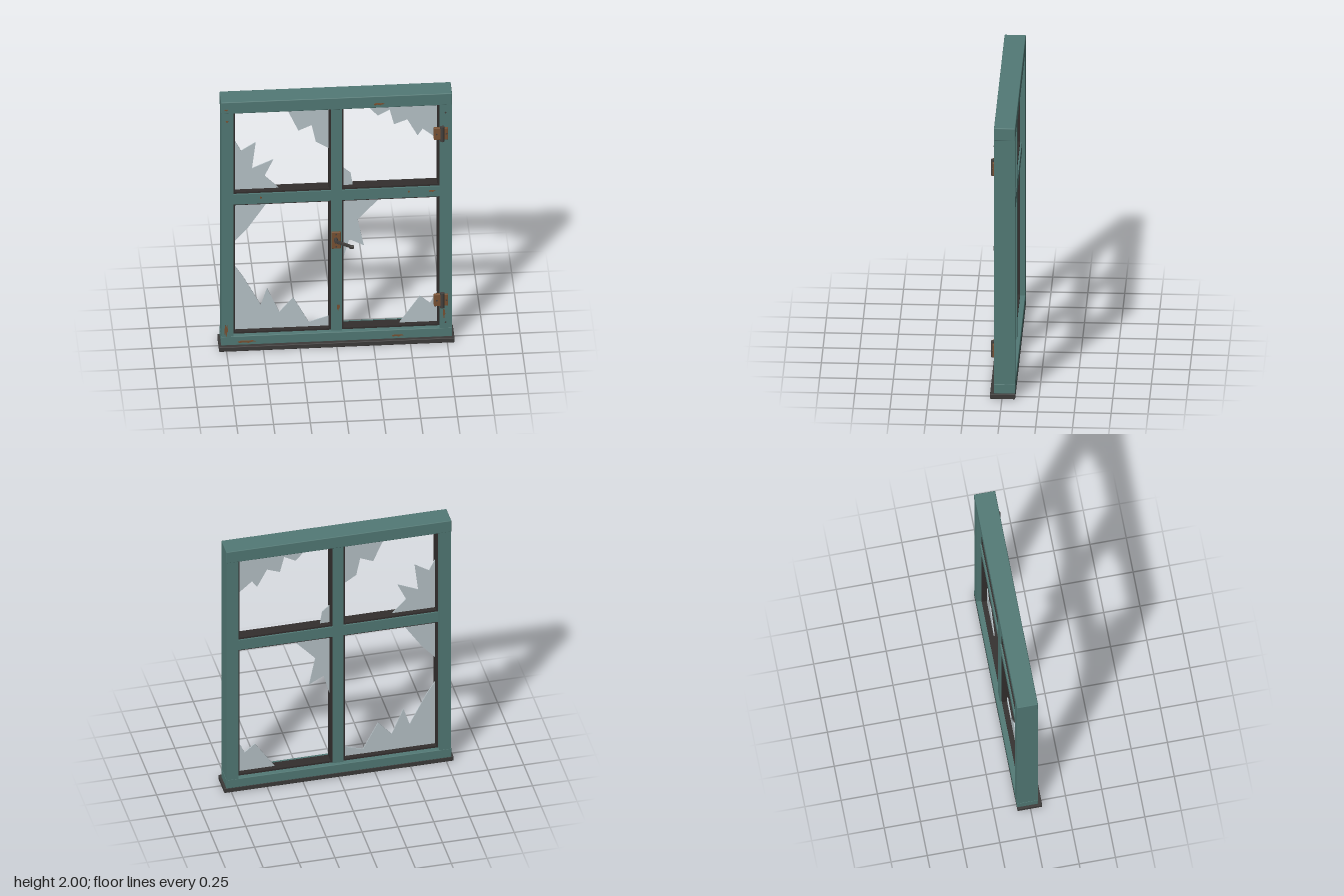
import * as THREE from 'three';
import { RoundedBoxGeometry } from 'three/addons/geometries/RoundedBoxGeometry.js';

const mat = (name, color) => Object.assign(new THREE.MeshStandardMaterial({ color }), { name });

export function createModel() {
  const paint = mat('teal paint', 0x527a76);
  const dark = mat('dark sill', 0x3d3b3a);
  const putty = mat('window putty', 0x332f2e);
  const glassMat = mat('dusty glass', 0xb8c4c9);
  const rust = mat('rust', 0x7a5233);
  const iron = mat('dark iron', 0x45423f);

  const group = new THREE.Group();
  group.name = 'brokenWindow';

  const add = (parent, name, geo, material, x = 0, y = 0, z = 0) => {
    const mesh = new THREE.Mesh(geo, material);
    mesh.name = name;
    mesh.position.set(x, y, z);
    parent.add(mesh);
    return mesh;
  };
  // Box given by its limits, optionally with a small bevel
  const block = (parent, name, material, [x0, x1], [y0, y1], [z0, z1], bevel = 0) => {
    const size = [x1 - x0, y1 - y0, z1 - z0];
    const geo = bevel ? new RoundedBoxGeometry(...size, 1, bevel) : new THREE.BoxGeometry(...size);
    return add(parent, name, geo, material, (x0 + x1) / 2, (y0 + y1) / 2, (z0 + z1) / 2);
  };
  // Flat plate cut from an outline
  const plate = (parent, name, material, points, z, depth) => {
    const shape = new THREE.Shape(points.map(([x, y]) => new THREE.Vector2(x, y)));
    const geo = new THREE.ExtrudeGeometry(shape, { depth, bevelEnabled: false });
    return add(parent, name, geo, material, 0, 0, z);
  };

  // Outer frame and sill
  const frameZ = [-0.09, 0.055];
  block(group, 'sill', dark, [-0.8, 0.8], [0, 0.036], [-0.09, 0.081], 0.004);
  block(group, 'topRail', paint, [-0.785, 0.785], [1.907, 2], frameZ, 0.005);
  block(group, 'bottomRail', paint, [-0.785, 0.785], [0.034, 0.105], frameZ, 0.004);
  for (const [s, name] of [[-1, 'rightStile'], [1, 'leftStile']]) {
    block(group, name, paint, [Math.min(s * 0.7, s * 0.783), Math.max(s * 0.7, s * 0.783)],
      [0.1, 1.915], [-0.089, 0.054]);
  }

  // Recessed glazing bars
  const barFront = 0.033;
  block(group, 'mullion', paint, [-0.037, 0.037], [0.1, 1.91], [-0.067, barFront]);
  block(group, 'crossBar', paint, [-0.702, 0.702], [1.157, 1.237], [-0.066, barFront - 0.001]);

  // Putty surround in each of the four openings
  for (const [x0, x1] of [[-0.7, -0.037], [0.037, 0.7]]) {
    for (const [y0, y1] of [[0.105, 1.157], [1.237, 1.907]]) {
      const t = 0.013;
      const shape = new THREE.Shape([[x0, y0], [x1, y0], [x1, y1], [x0, y1]].map((p) => new THREE.Vector2(...p)));
      shape.holes.push(new THREE.Path([[x0 + t, y0 + t], [x0 + t, y1 - t], [x1 - t, y1 - t], [x1 - t, y0 + t]]
        .map((p) => new THREE.Vector2(...p))));
      add(group, 'puttySurround', new THREE.ExtrudeGeometry(shape, { depth: 0.075, bevelEnabled: false }),
        putty, 0, 0, -0.055);
    }
  }

  // Broken glass shards
  const shards = [
    [[-0.34, 1.9], [-0.255, 1.705], [-0.165, 1.745], [-0.137, 1.61], [-0.045, 1.55], [-0.045, 1.9]],
    [[-0.69, 1.65], [-0.645, 1.56], [-0.545, 1.625], [-0.57, 1.415], [-0.425, 1.48], [-0.485, 1.35],
      [-0.38, 1.24], [-0.69, 1.24]],
    [[0.197, 1.9], [0.285, 1.8], [0.365, 1.845], [0.395, 1.725], [0.485, 1.76], [0.555, 1.627],
      [0.59, 1.68], [0.692, 1.592], [0.692, 1.9]],
    [[0.045, 1.393], [0.1, 1.345], [0.116, 1.24], [0.045, 1.24]],
    [[-0.69, 1.15], [-0.457, 1.15], [-0.595, 0.94], [-0.69, 0.83]],
    [[-0.69, 0.635], [-0.63, 0.54], [-0.51, 0.305], [-0.467, 0.44], [-0.385, 0.243], [-0.29, 0.355],
      [-0.185, 0.153], [-0.045, 0.197], [-0.045, 0.112], [-0.69, 0.112]],
    [[0.045, 1.15], [0.313, 1.15], [0.148, 0.965], [0.19, 0.755], [0.09, 0.81], [0.045, 0.64]],
    [[0.427, 0.112], [0.57, 0.325], [0.64, 0.265], [0.692, 0.37], [0.692, 0.112]],
  ];
  shards.forEach((p) => plate(group, 'glassShard', glassMat, p, -0.021, 0.007));

  // Rust patches: centre x, y, width, height, front surface
  const ragged = [[-0.5, 0.1], [-0.3, 0.5], [0.1, 0.35], [0.3, 0.5], [0.5, 0], [0.25, -0.1], [0.1, -0.5],
    [-0.15, -0.15], [-0.4, -0.45]];
  const patches = [
    [-0.75, 1.938, 0.025, 0.012, 0.055], [-0.745, 1.845, 0.018, 0.016, 0.055],
    [0.29, 1.938, 0.075, 0.018, 0.055], [-0.513, 1.205, 0.014, 0.018, barFront],
    [0.492, 1.205, 0.014, 0.016, barFront], [0.65, 1.203, 0.045, 0.014, barFront],
    [0.014, 0.293, 0.022, 0.05, barFront], [-0.75, 0.15, 0.024, 0.1, 0.055],
    [-0.61, 0.06, 0.125, 0.02, 0.055], [0.415, 0.06, 0.08, 0.017, 0.055], [0.73, 0.22, 0.016, 0.08, 0.055],
  ];
  for (const [x, y, w, h, z] of patches) {
    plate(group, 'rustPatch', rust, ragged.map(([u, v]) => [x + u * w, y + v * h]), z - 0.001, 0.004);
  }

  // Small round screw heads facing forward
  const screw = (parent, x, y, z, r = 0.006) => {
    const geo = new THREE.CylinderGeometry(r, r, 0.006, 8).rotateX(Math.PI / 2);
    add(parent, 'screwHead', geo, iron, x, y, z);
  };
  screw(group, 0.74, 1.848, 0.055);
  screw(group, 0.74, 0.152, 0.055);

  // Hinges on the left stile
  for (const y of [1.682, 0.336]) {
    const hinge = new THREE.Group();
    hinge.name = 'hinge';
    hinge.position.y = y;
    group.add(hinge);
    block(hinge, 'hingeLeaf', rust, [0.66, 0.712], [-0.047, 0.047], [0.045, 0.068], 0.004);
    block(hinge, 'hingeLeaf', rust, [0.722, 0.757], [-0.047, 0.047], [0.05, 0.066], 0.004);
    add(hinge, 'hingePin', new THREE.CylinderGeometry(0.016, 0.016, 0.118, 8), iron, 0.717, 0, 0.063);
    screw(hinge, 0.68, 0, 0.068);
    screw(hinge, 0.745, 0, 0.066);
  }

  // Handle: back plate, spindle and drooping lever
  const handle = new THREE.Group();
  handle.name = 'handle';
  group.add(handle);
  block(handle, 'handlePlate', rust, [-0.034, 0.029], [0.775, 0.908], [0.03, 0.047], 0.004);
  screw(handle, -0.003, 0.892, 0.047);
  screw(handle, -0.003, 0.792, 0.047);
  add(handle, 'handleSpindle', new THREE.CylinderGeometry(0.013, 0.013, 0.045, 8).rotateX(Math.PI / 2),
    iron, -0.005, 0.855, 0.063);
  const lever = block(handle, 'handleLever', iron, [-0.02, 0.098], [0.825, 0.845], [0.07, 0.088], 0.003);
  lever.rotation.z = -0.43;
  block(handle, 'handleTip', iron, [0.085, 0.115], [0.797, 0.815], [0.068, 0.09], 0.003);

  return group;
}
